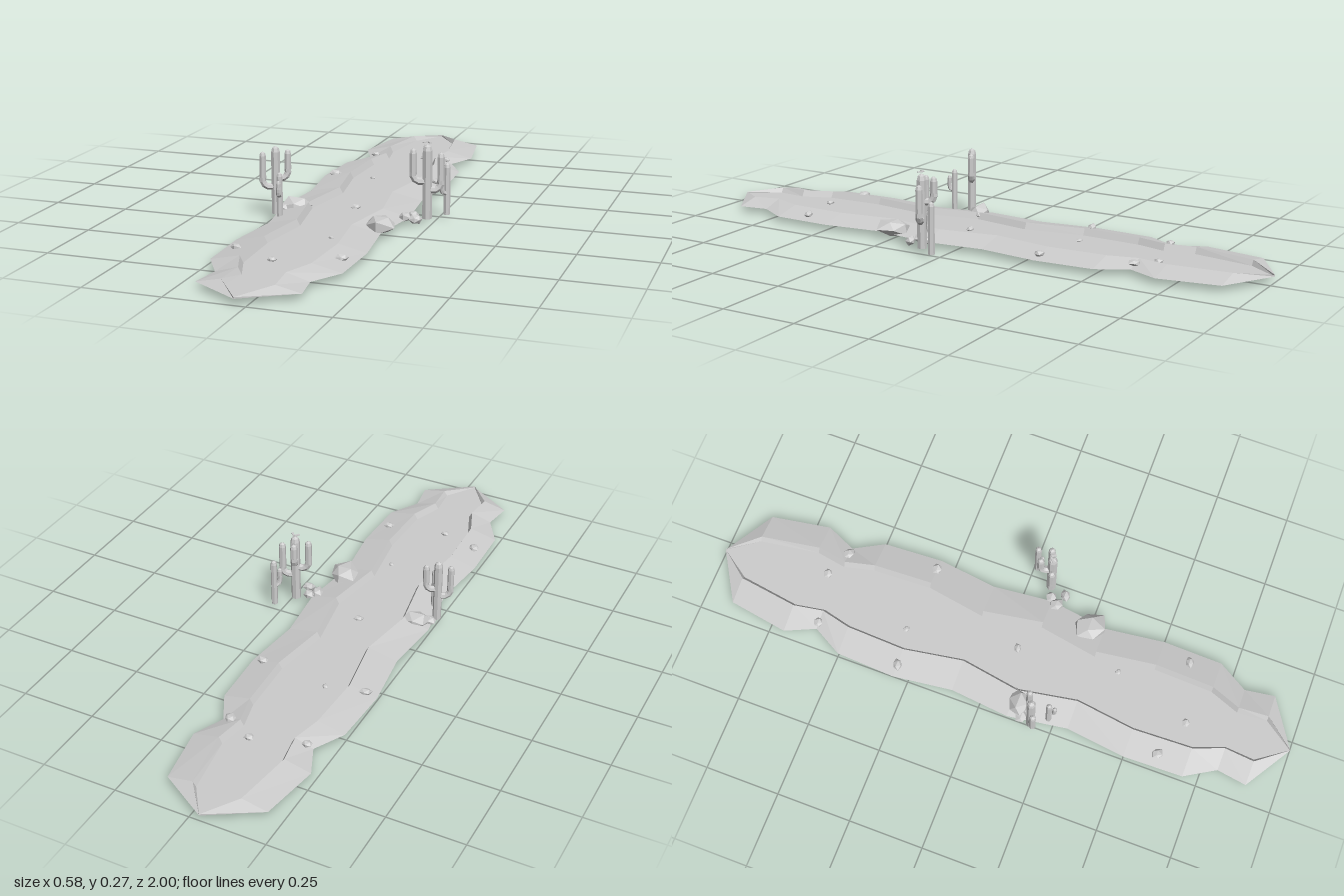
import * as THREE from 'three';

const stone = new THREE.MeshStandardMaterial({ color: 0xcccccc });
stone.name = 'pale grey';
stone.flatShading = true;
stone.side = THREE.DoubleSide;

function add(parent, geometry, name, x = 0, y = 0, z = 0) {
  const mesh = new THREE.Mesh(geometry, stone);
  mesh.name = name;
  mesh.position.set(x, y, z);
  parent.add(mesh);
  return mesh;
}

// Open strip lofted between cross-sections of equal point count
function loft(sections) {
  const n = sections[0].length;
  const index = [];
  for (let i = 0; i < sections.length - 1; i++) {
    for (let j = 0; j < n - 1; j++) {
      const a = i * n + j, b = a + n;
      index.push(a, b, a + 1, b, b + 1, a + 1);
    }
  }
  const g = new THREE.BufferGeometry();
  g.setAttribute('position', new THREE.Float32BufferAttribute(sections.flat(2), 3));
  g.setIndex(index);
  const flat = g.toNonIndexed();
  flat.computeVertexNormals();
  return flat;
}

// Dry river: sunken bed, short inner walls and sloping banks
function riverbed(parent) {
  const cx = -0.035, low = 0.021, crest = 0.042;
  // z, bed half width, bank half width
  const stations = [
    [-1, 0, 0], [-0.9, 0.07, 0.167], [-0.7, 0.1, 0.2], [-0.6, 0.083, 0.155],
    [-0.5, 0.107, 0.21], [-0.3, 0.115, 0.22], [-0.1, 0.082, 0.195], [0.1, 0.115, 0.215],
    [0.3, 0.08, 0.185], [0.5, 0.107, 0.21], [0.7, 0.1, 0.205], [0.8, 0.062, 0.145],
    [0.9, 0.07, 0.16], [1, 0, 0],
  ];
  const bed = [], banks = { 1: [], [-1]: [] };
  for (const [z, inner, outer] of stations) {
    const end = inner === 0;
    const top = end ? 0.026 : crest - (Math.abs(z) > 0.85 ? 0.004 : 0);
    bed.push([[cx - inner, low, z], [cx + inner, low, z]]);
    for (const s of [-1, 1]) {
      const row = [
        [cx + s * outer, low, z],
        [cx + s * (inner + (end ? 0 : 0.011)), top, z],
        [cx + s * inner, low, z],
      ];
      banks[s].push(s < 0 ? row : row.reverse());
    }
  }
  add(parent, loft(bed), 'riverBed');
  add(parent, loft(banks[-1]), 'rightBank');
  add(parent, loft(banks[1]), 'leftBank');
}

// Six-sided column with a blunt tip, standing on y = 0
function column(r, h) {
  return new THREE.LatheGeometry([
    [r, 0], [r, h - r * 1.3], [r * 0.75, h - r * 0.45], [0, h],
  ].map(([x, y]) => new THREE.Vector2(x, y)), 7);
}

// arms: [dx, dz, elbow height, tip height]
function cactus(parent, name, x, z, r, top, arms) {
  const base = 0.017;
  const g = new THREE.Group();
  g.name = name;
  g.position.set(x, 0, z);
  add(g, column(r, top - base), 'trunk', 0, base, 0);
  for (const [dx, dz, y0, y1] of arms) {
    const ar = r * 0.75;
    const path = new THREE.CatmullRomCurve3([
      new THREE.Vector3(0, y0, 0),
      new THREE.Vector3(dx * 0.7, y0, dz * 0.7),
      new THREE.Vector3(dx, y0 + 0.015, dz),
      new THREE.Vector3(dx, y0 + 0.03, dz),
    ]);
    add(g, new THREE.TubeGeometry(path, 5, ar, 7), 'armElbow');
    add(g, column(ar, y1 - y0 - 0.028), 'arm', dx, y0 + 0.028, dz);
  }
  parent.add(g);
  return g;
}

// Faceted boulder, its corners pushed in or out by a fixed rule
function rock(parent, name, x, y, z, rx, ry, rz, seed) {
  const g = new THREE.IcosahedronGeometry(1, 0);
  const p = g.attributes.position;
  for (let i = 0; i < p.count; i++) {
    const v = new THREE.Vector3().fromBufferAttribute(p, i);
    const k = 0.95 + 0.17 * Math.sin(v.x * 5 + v.y * 7 + v.z * 3 + seed * 2.1);
    p.setXYZ(i, v.x * k * rx, v.y * k * ry, v.z * k * rz);
  }
  g.computeVertexNormals();
  add(parent, g, name, x, y, z);
}

export function createModel() {
  const model = new THREE.Group();
  model.name = 'desertRiverbed';
  riverbed(model);

  // Cacti beside the left bank, the tallest in flower
  const tall = cactus(model, 'tallCactus', 0.231, 0.078, 0.016, 0.26, [
    [-0.043, 0.012, 0.14, 0.246], [0.04, -0.016, 0.112, 0.233], [-0.014, -0.036, 0.17, 0.252],
  ]);
  for (const s of [-1, 1]) {
    const petal = add(tall, new THREE.BoxGeometry(0.007, 0.003, 0.018), 'flower', s * 0.007, 0.266, 0);
    petal.rotation.y = s * 0.7;
  }
  cactus(model, 'thinCactus', 0.278, 0.013, 0.011, 0.187, [[-0.012, 0.018, 0.09, 0.15]]);

  // Cacti beside the right bank
  cactus(model, 'armedCactus', -0.244, 0.18, 0.0145, 0.24, [
    [-0.037, 0.018, 0.108, 0.223], [0.035, -0.018, 0.135, 0.228],
  ]);
  cactus(model, 'smallCactus', -0.211, 0.23, 0.01, 0.168, [[0.003, 0.018, 0.095, 0.145]]);

  // Boulders
  rock(model, 'leftBoulder', 0.135, 0.037, 0.25, 0.056, 0.034, 0.056, 1);
  rock(model, 'rightBoulder', -0.195, 0.031, 0.12, 0.05, 0.031, 0.045, 2);
  rock(model, 'rightSmallBoulder', -0.235, 0.025, 0.145, 0.024, 0.016, 0.022, 3);
  [[0.172, 0.118, 0.024], [0.212, 0.135, 0.021], [0.19, 0.095, 0.02]].forEach(([x, z, r], i) =>
    rock(model, 'leftSmallBoulder', x, 0.028, z, r, r * 0.75, r, i + 4));

  // Pebbles on the banks and in the bed: x, y, z, radius
  [
    [-0.17, 0.034, -0.6, 0.018], [0.095, 0.036, -0.6, 0.021], [-0.215, 0.034, -0.3, 0.021],
    [0.148, 0.034, -0.3, 0.02], [-0.2, 0.034, 0.6, 0.021], [0.132, 0.034, 0.6, 0.02],
    [0.006, 0.024, -0.64, 0.018], [-0.085, 0.023, -0.32, 0.012], [-0.018, 0.024, 0.05, 0.017],
    [-0.066, 0.024, 0.655, 0.016], [0.022, 0.023, 0.39, 0.011],
  ].forEach(([x, y, z, r], i) => rock(model, 'pebble', x, y, z, r, r * 0.55, r * 0.9, i));

  return model;
}
